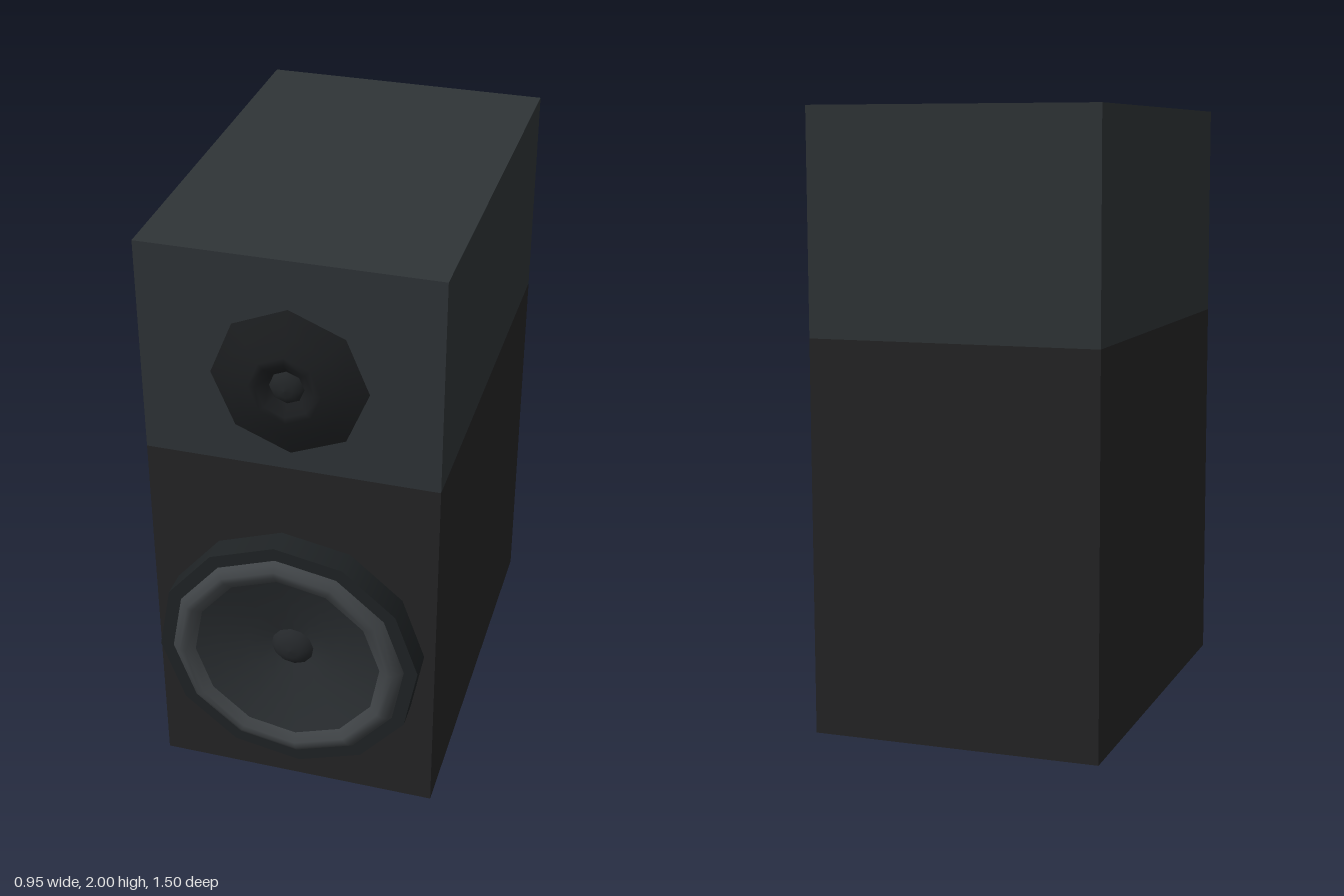
import * as THREE from 'three';

const FRONT = 0.635, BACK = -0.75, HALF_W = 0.475;

function addMesh(parent, name, geometry, color) {
  const mesh = new THREE.Mesh(geometry, new THREE.MeshStandardMaterial({ color }));
  mesh.name = name;
  parent.add(mesh);
  return mesh;
}

// Lathe around the z axis; profile is [radius, z], from the outside inwards
function dish(profile, sides, turn = 0) {
  const points = profile.map(([r, z]) => new THREE.Vector2(r, z));
  return new THREE.LatheGeometry(points, sides).rotateX(Math.PI / 2).rotateZ(turn);
}

function cabinetBox(y0, y1) {
  return new THREE.BoxGeometry(HALF_W * 2, y1 - y0, FRONT - BACK)
    .translate(0, (y0 + y1) / 2, (FRONT + BACK) / 2);
}

export function createModel() {
  const model = new THREE.Group();
  model.name = 'loudspeaker';

  // Cabinet in two tones
  addMesh(model, 'lowerCabinet', cabinetBox(0, 1.28), 0x242425);
  addMesh(model, 'upperCabinet', cabinetBox(1.28, 2), 0x2f3437);

  // Woofer: twelve-sided frame, raised surround, recessed cone and dust cap
  const woofer = new THREE.Group();
  woofer.name = 'woofer';
  woofer.position.y = 0.59;
  model.add(woofer);
  const turn = 0.08;
  addMesh(woofer, 'frameSide', dish([[0.44, FRONT], [0.44, 0.725]], 12, turn), 0x1f2325);
  addMesh(woofer, 'frameFace', dish([[0.44, 0.725], [0.39, 0.725]], 12, turn), 0x1f2325);
  addMesh(woofer, 'surround',
    dish([[0.395, 0.725], [0.385, 0.738], [0.365, 0.75], [0.345, 0.75], [0.315, 0.73]], 12, turn), 0x404447);
  addMesh(woofer, 'cone',
    dish([[0.315, 0.73], [0.24, 0.705], [0.15, 0.68], [0.07, 0.66]], 12, turn), 0x2a2e31);
  addMesh(woofer, 'dustCap',
    dish([[0.072, 0.66], [0.055, 0.677], [0.03, 0.687], [0, 0.69]], 12, turn), 0x25282b);

  // Tweeter: eight-sided bulging plate with a small recessed dome
  const tweeter = new THREE.Group();
  tweeter.name = 'tweeter';
  tweeter.position.y = 1.59;
  model.add(tweeter);
  addMesh(tweeter, 'waveguide',
    dish([[0.25, FRONT], [0.18, 0.664], [0.115, 0.685], [0.092, 0.687], [0.055, 0.66]], 8), 0x1b1d1f);
  addMesh(tweeter, 'dome',
    dish([[0.056, 0.66], [0.045, 0.673], [0.025, 0.682], [0, 0.685]], 8), 0x222527);

  return model;
}
